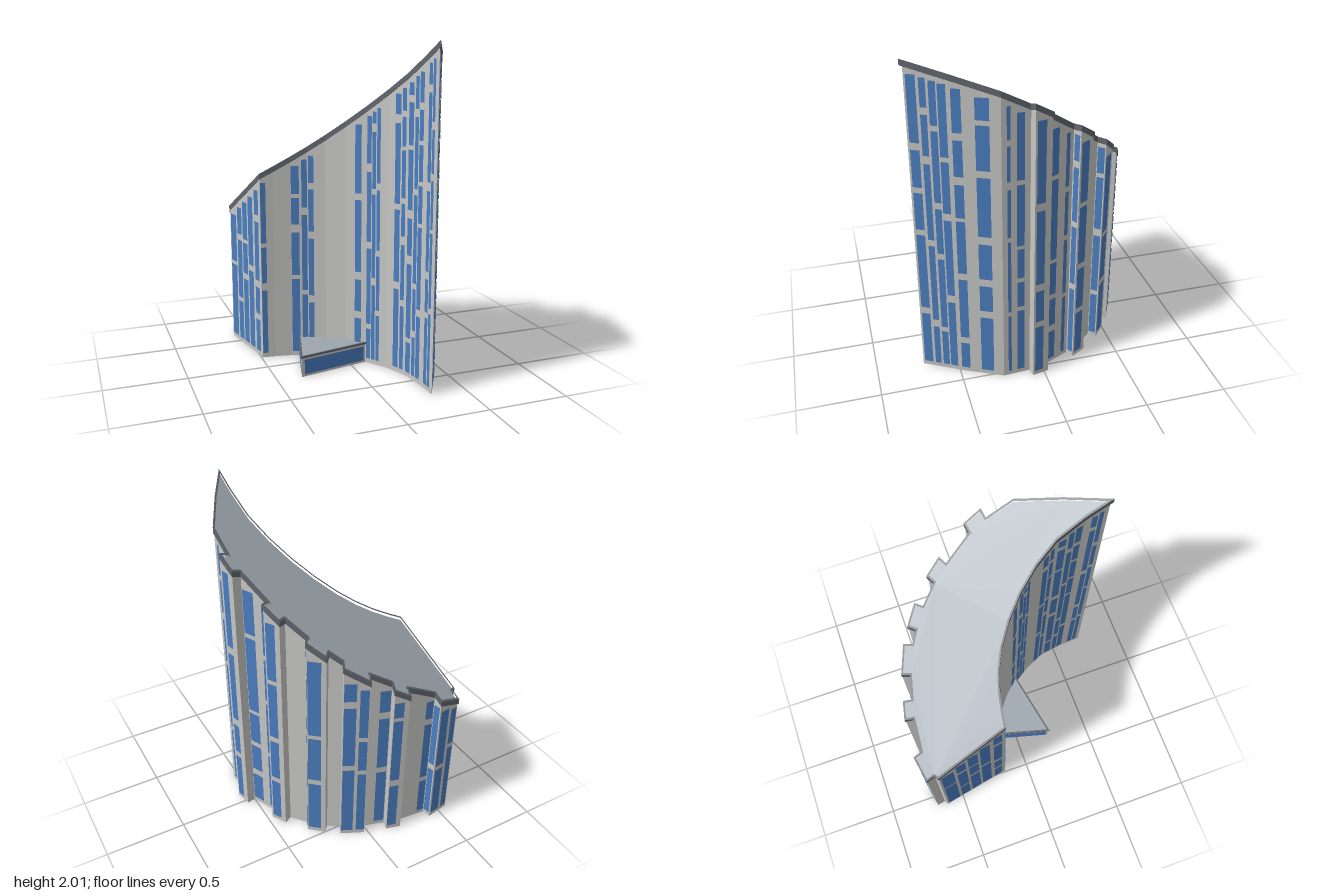
import * as THREE from 'three';

const mat = (name, color, side = THREE.DoubleSide) => {
  const m = new THREE.MeshStandardMaterial({ color, side });
  m.name = name;
  return m;
};

const towerTop = (x, z) => 1.505 + 0.453 * x + 0.516 * z; // slanted roof plane
const entranceTop = () => 0.133;

// Outward unit normal of wall i of a footprint made of [x, z] points
function normal(ring, i) {
  const n = ring.length, a = ring[(i + n) % n], b = ring[(i + 1) % n];
  const l = Math.hypot(b[0] - a[0], b[1] - a[1]);
  return [(b[1] - a[1]) / l, (a[0] - b[0]) / l];
}

// Tower footprint: back arc with six square teeth, pointed tip, concave front curve
function towerFootprint() {
  const ring = [[-0.58, -0.62]];
  const teeth = [
    [-0.555, -0.635, -0.41, -0.66], [-0.22, -0.64, -0.13, -0.615], [0, -0.575, 0.135, -0.51],
    [0.2, -0.46, 0.285, -0.385], [0.37, -0.28, 0.42, -0.19], [0.5, -0.015, 0.52, 0.085],
  ];
  for (const [ax, az, bx, bz] of teeth) {
    const a = [ax, az], b = [bx, bz], n = normal([a, b], 0);
    const out = (p) => [p[0] + n[0] * 0.055, p[1] + n[1] * 0.055];
    ring.push(a, out(a), out(b), b);
  }
  ring.push([0.53, 0.25], [0.41, 0.49]);
  const front = new THREE.SplineCurve([
    [0.285, 0.71], [0.25, 0.4], [0.105, 0.14], [-0.1, -0.045], [-0.3, -0.13], [-0.49, -0.16],
  ].map(([x, z]) => new THREE.Vector2(x, z)));
  return [...ring, ...front.getPoints(10).map((p) => [p.x, p.y])];
}

// Glazed bays: [wall index, start, end (fractions of the wall), number of columns]
const BACK_BAYS = [
  [2, 0.06, 0.95, 2], [3, 0.1, 0.9], [4, 0.03, 0.28], [6, 0.35, 0.98], [8, 0.03, 0.5],
  [10, 0.02, 0.98, 2], [14, 0.25, 0.95], [15, 0.1, 0.9], [18, 0.3, 0.9], [19, 0.1, 0.8],
  [20, 0.14, 0.28], [20, 0.57, 0.97], [22, 0.37, 0.9], [24, 0.21, 0.48], [24, 0.7, 0.82],
  [25, 0.23, 0.52], [25, 0.79, 0.99], [26, 0.09, 0.95, 4],
];
const FRONT_BAYS = [
  [27, 0.2, 0.7, 2], [28, 0.05, 0.9, 3], [29, 0.05, 0.6, 2], [30, 0.34, 0.99, 3],
  [31, 0.25, 0.55], [33, 0.65, 0.95], [34, 0.02, 0.98, 2], [36, 0.58, 0.98], [37, 0.05, 0.97, 5],
];

let seed = 7;
const rand = () => (seed = (seed * 16807) % 2147483647) / 2147483647;

// Mitred offset of a footprint
const offset = (ring, d) => ring.map((p, i) => {
  const m = normal(ring, i - 1), n = normal(ring, i);
  const k = d / (1 + m[0] * n[0] + m[1] * n[1]);
  return [p[0] + (m[0] + n[0]) * k, p[1] + (m[1] + n[1]) * k];
});

// Geometry from outward upright quads [a, b, bottom, top at a, top at b]
function quads(list) {
  const v = [];
  for (const [a, b, y, ta, tb] of list) {
    v.push(b[0], y, b[1], a[0], y, a[1], a[0], ta, a[1]);
    v.push(b[0], y, b[1], a[0], ta, a[1], b[0], tb, b[1]);
  }
  const g = new THREE.BufferGeometry();
  g.setAttribute('position', new THREE.Float32BufferAttribute(v, 3));
  g.computeVertexNormals();
  return g;
}

const toPoints = (ring) => ring.map(([x, z]) => new THREE.Vector2(x, -z));

// Lay a flat geometry onto the roof plane
function drape(g, top, drop) {
  g.rotateX(-Math.PI / 2);
  const p = g.attributes.position;
  for (let i = 0; i < p.count; i++) p.setY(i, p.getY(i) + top(p.getX(i), p.getZ(i)) - drop);
  g.computeVertexNormals();
  return g;
}

// Open-bottomed walls, sunken roof, parapet rim and windows
function building(name, ring, top, rim, panes, mats) {
  const group = new THREE.Group();
  group.name = name;
  const add = (part, g, m) => {
    const mesh = new THREE.Mesh(g, m);
    mesh.name = part;
    group.add(mesh);
  };
  const drop = rim * 0.6;
  add('walls', quads(ring.map((a, i) => {
    const b = ring[(i + 1) % ring.length];
    return [a, b, 0, top(...a) - drop, top(...b) - drop];
  })), mats.wall);
  add('roof', drape(new THREE.ShapeGeometry(new THREE.Shape(toPoints(ring))), top, drop), mats.roof);
  const band = new THREE.Shape(toPoints(offset(ring, 0.005)));
  band.holes.push(new THREE.Path(toPoints(offset(ring, -0.006))));
  add('roofRim', drape(new THREE.ExtrudeGeometry(band, { depth: rim, bevelEnabled: false }), top, rim), mats.trim);
  add('windows', quads(panes), mats.glass);
  return group;
}

// Both ends of a pane just outside wall i, from fraction t0 to t1
function pane(ring, i, t0, t1) {
  const a = ring[i], b = ring[(i + 1) % ring.length], n = normal(ring, i);
  return [t0, t1].map((t) => [0, 1].map((k) => a[k] + (b[k] - a[k]) * t + n[k] * 0.003));
}

// Stacked panes of irregular length, in columns of irregular width
function towerPanes(ring) {
  const panes = [];
  for (const [wall, start, end, count = 1] of [...BACK_BAYS, ...FRONT_BAYS]) {
    const pitch = (end - start) / count;
    for (let c = 0; c < count; c++) {
      const t = start + c * pitch;
      const width = c === count - 1 ? pitch : pitch * (0.65 + rand() * 0.22);
      const [a, b] = pane(ring, wall, t, t + width);
      const limit = Math.min(towerTop(...a), towerTop(...b)) - 0.06;
      for (let y = 0.03; y < limit - 0.04;) {
        const next = y + 0.17 + rand() * 0.36;
        const top = next > limit - 0.08 ? limit : next;
        panes.push([a, b, y, top, top]);
        y = top + 0.022 + rand() * 0.03;
      }
    }
  }
  return panes;
}

export function createModel() {
  const mats = {
    wall: mat('pale concrete', 0xc6c6c4),
    roof: mat('roof grey', 0x9da6ae),
    trim: mat('dark grey trim', 0x62666e, THREE.FrontSide),
    glass: mat('blue glass', 0x4a7dbf),
  };
  const model = new THREE.Group();
  model.name = 'crescentTower';

  const tower = towerFootprint();
  model.add(building('tower', tower, towerTop, 0.035, towerPanes(tower), mats));

  // Low wedge-shaped entrance on the concave side
  const entrance = [[-0.255, -0.12], [-0.1, -0.052], [0, 0.022], [0.105, 0.135], [-0.347, 0.222]];
  const entrancePanes = [3, 4].map((i) => [...pane(entrance, i, 0.04, 0.96), 0.015, 0.108, 0.108]);
  model.add(building('entrance', entrance, entranceTop, 0.012, entrancePanes, mats));
  return model;
}
